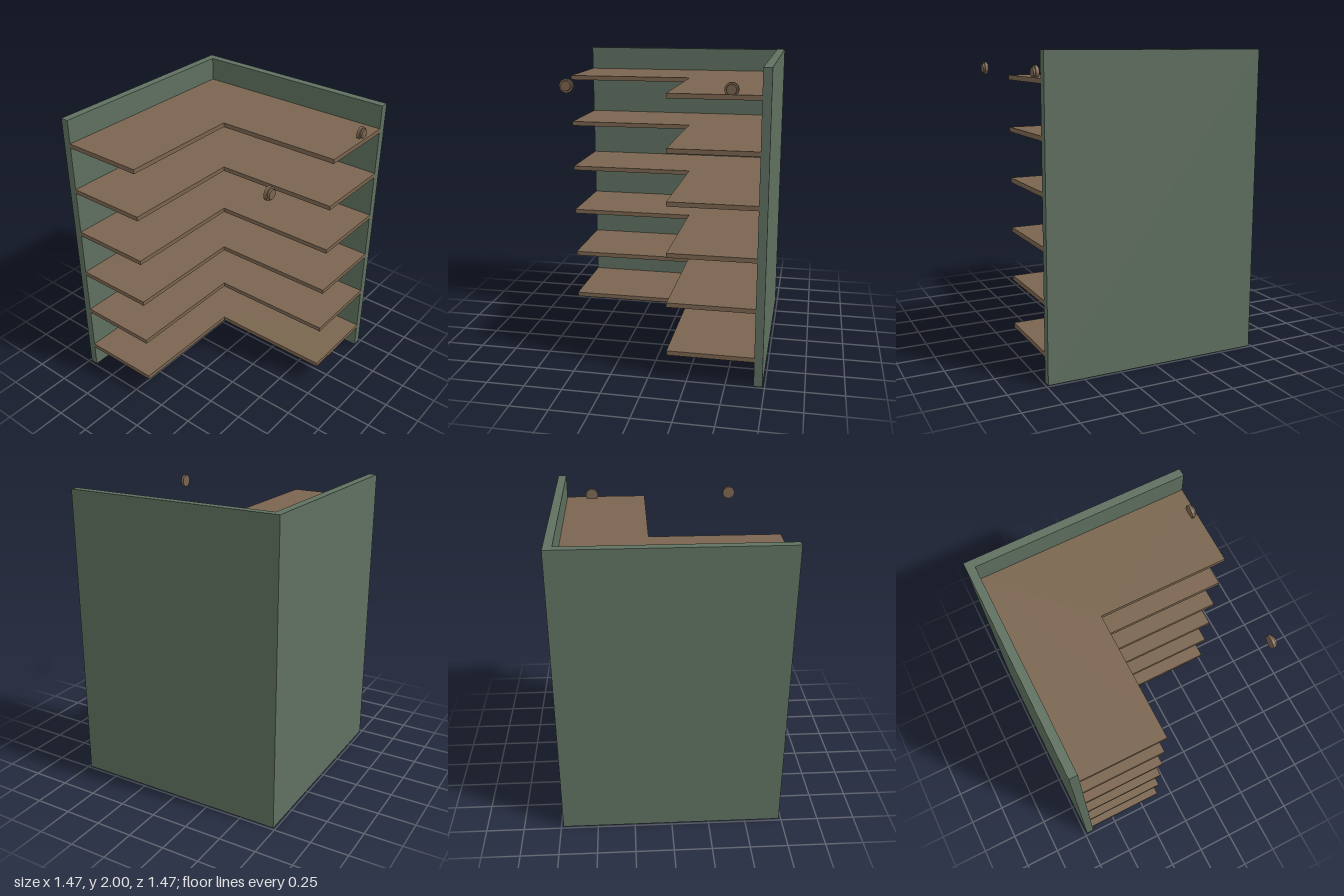
import * as THREE from 'three';

export function createModel() {
  const green = new THREE.MeshStandardMaterial({ color: 0x5f7060 });
  green.name = 'sage green paint';
  const wood = new THREE.MeshStandardMaterial({ color: 0x7a654f });
  wood.name = 'brown wood';

  const model = new THREE.Group();
  model.name = 'cornerShelf';
  const add = (name, geometry, material, x, y, z) => {
    const mesh = new THREE.Mesh(geometry, material);
    mesh.name = name;
    mesh.position.set(x, y, z);
    model.add(mesh);
    return mesh;
  };

  const H = 0.735;          // half of the footprint
  const T = 0.055;          // panel thickness
  const inner = H - T;      // inner face of the panels

  // Two upright panels meeting at the back corner
  add('backPanel', new THREE.BoxGeometry(2 * H - T, 2, T), green, -T / 2, 1, -H + T / 2);
  add('sidePanel', new THREE.BoxGeometry(T, 2, 2 * H), green, H - T / 2, 1, 0);

  // L-shaped shelves; the outline is drawn in x and -z, then laid flat
  const outline = new THREE.Shape([
    [-H, 0.123], [0.118, 0.123], [0.118, -H], [inner, -H], [inner, inner], [-H, inner],
  ].map(([x, y]) => new THREE.Vector2(x, y)));
  const shelfGeometry = new THREE.ExtrudeGeometry(outline, { depth: 0.03, bevelEnabled: false });
  shelfGeometry.rotateX(-Math.PI / 2);
  for (let i = 0; i < 6; i++) {
    add(`shelf${i + 1}`, shelfGeometry, wood, 0, 0.165 + i * 0.329, 0);
  }

  // Small round knobs: a rimmed disc with a narrower cap in front
  const rim = new THREE.CylinderGeometry(0.043, 0.043, 0.02, 24).rotateX(Math.PI / 2);
  const cap = new THREE.CylinderGeometry(0.03, 0.032, 0.012, 24).rotateX(Math.PI / 2);
  for (const [side, x] of [['right', -0.5], ['left', 0.5]]) {
    add(`${side}KnobRim`, rim, wood, x, 1.866, 0.698);
    add(`${side}KnobCap`, cap, wood, x, 1.866, 0.714);
  }
  return model;
}
